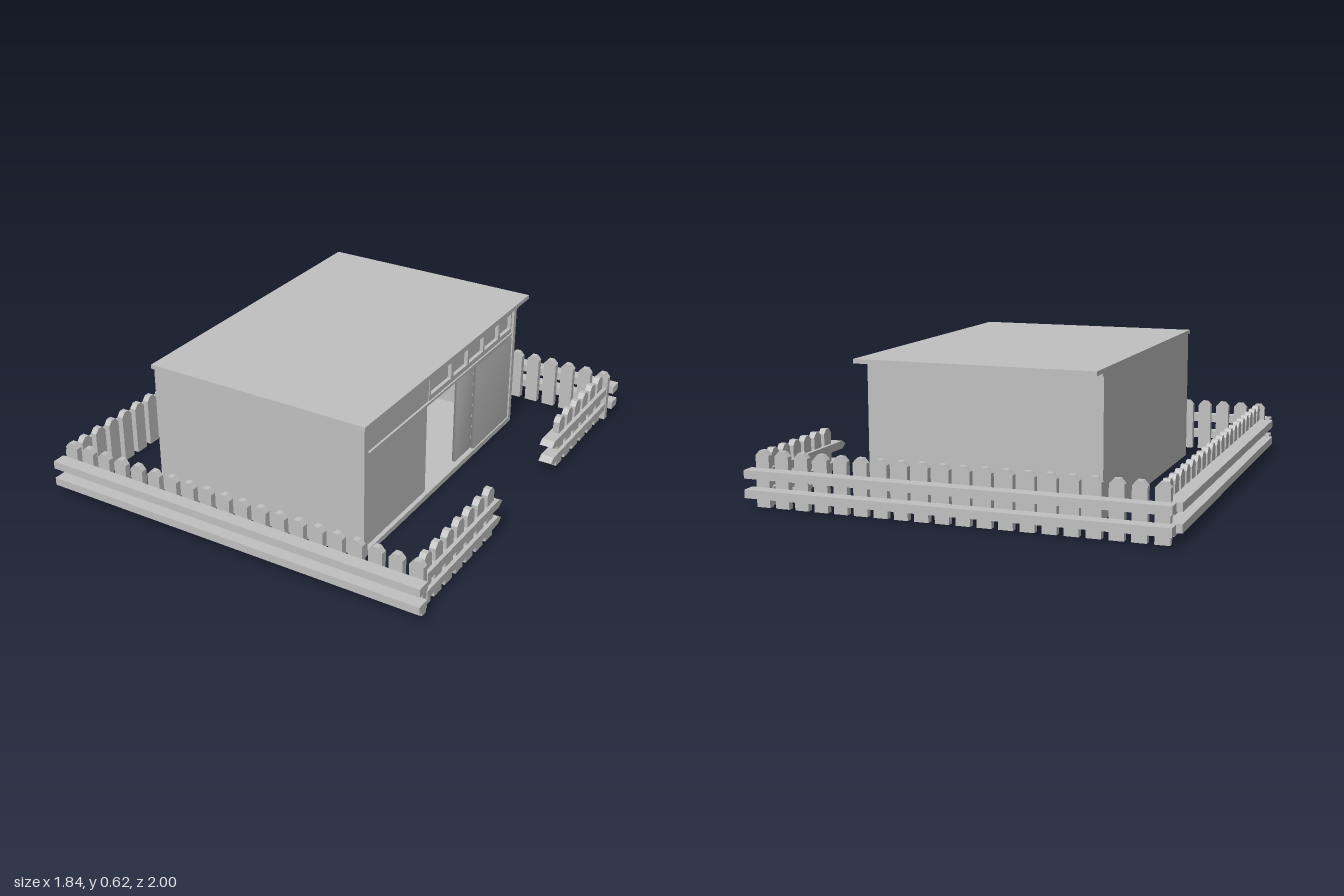
import * as THREE from 'three';
import { mergeVertices } from 'three/addons/utils/BufferGeometryUtils.js';

export function createModel() {
  const grey = new THREE.MeshStandardMaterial({ color: 0xc0c0c0 });
  grey.name = 'plain grey';
  const root = new THREE.Group();
  root.name = 'fencedHouse';

  const add = (parent, name, geo, x = 0, y = 0, z = 0) => {
    const m = new THREE.Mesh(geo, grey);
    m.name = name;
    m.position.set(x, y, z);
    parent.add(m);
    return m;
  };
  // box given by its limits on each axis
  const box = (parent, name, x0, x1, y0, y1, z0, z1) =>
    add(parent, name, new THREE.BoxGeometry(x1 - x0, y1 - y0, z1 - z0),
      (x0 + x1) / 2, (y0 + y1) / 2, (z0 + z1) / 2);
  // outline pushed along z from z0 to z1
  const extrude = (points, z0, z1) => {
    const shape = new THREE.Shape(points.map(p => new THREE.Vector2(...p)));
    return new THREE.ExtrudeGeometry(shape, { depth: z1 - z0, bevelEnabled: false }).translate(0, 0, z0);
  };

  // ---- House shell ----
  const house = new THREE.Group();
  house.name = 'house';
  root.add(house);
  box(house, 'floor', -0.53, 0.51, 0, 0.025, -0.665, 0.72);
  box(house, 'frontWall', -0.53, 0.51, 0, 0.605, 0.69, 0.72);
  box(house, 'backWall', -0.53, 0.51, 0, 0.605, -0.665, -0.64);
  box(house, 'farSideWall', -0.53, -0.5, 0, 0.605, -0.64, 0.69);
  box(house, 'roof', -0.535, 0.52, 0.603, 0.622, -0.773, 0.733);
  box(house, 'roofBatten', -0.53, 0.51, 0.588, 0.603, -0.68, -0.665);

  // ---- Open side with wall panel, lintel and window row ----
  box(house, 'sidePanel', 0.465, 0.49, 0.025, 0.465, 0.165, 0.69);
  box(house, 'lintel', 0.465, 0.505, 0.463, 0.475, -0.64, 0.69);
  box(house, 'upperPanel', 0.465, 0.495, 0.475, 0.587, 0.165, 0.69);
  box(house, 'topRail', 0.465, 0.505, 0.587, 0.603, -0.64, 0.69);

  // window frame with five openings; its outline runs along -z
  const frame = new THREE.Shape([[-0.165, 0.475], [0.64, 0.475], [0.64, 0.587], [-0.165, 0.587]]
    .map(p => new THREE.Vector2(...p)));
  for (const [a, b] of [[-0.15, 0.035], [0.055, 0.19], [0.205, 0.345], [0.36, 0.5], [0.52, 0.632]]) {
    frame.holes.push(new THREE.Path([[a, 0.498], [a, 0.572], [b, 0.572], [b, 0.498]]
      .map(p => new THREE.Vector2(...p))));
    box(house, 'windowPane', 0.475, 0.481, 0.498, 0.572, -b, -a);
  }
  const frameGeo = new THREE.ExtrudeGeometry(frame, { depth: 0.03, bevelEnabled: false });
  add(house, 'windowFrame', frameGeo.rotateY(Math.PI / 2), 0.468);

  // ---- Sliding doors, shaded smoothly across their edges ----
  const door = (name, x, z0, z1) => {
    const flat = new THREE.BoxGeometry(0.015, 0.43, z1 - z0);
    flat.deleteAttribute('normal');
    flat.deleteAttribute('uv');
    const soft = mergeVertices(flat);
    soft.computeVertexNormals();
    add(house, name, soft, x, 0.235, (z0 + z1) / 2);
  };
  door('narrowDoor', 0.478, -0.285, -0.13);
  door('wideDoor', 0.496, -0.64, -0.28);

  // ---- Furniture inside ----
  const inside = new THREE.Group();
  inside.name = 'furniture';
  house.add(inside);
  box(inside, 'chairBack', -0.3, -0.18, 0.025, 0.14, 0.145, 0.165);
  box(inside, 'stoolSeat', -0.3, -0.2, 0.075, 0.085, -0.045, 0.04);
  box(inside, 'stoolBase', -0.29, -0.21, 0.025, 0.075, -0.035, 0.03);
  box(inside, 'stoolCushion', -0.28, -0.22, 0.085, 0.115, -0.035, 0.025);
  box(inside, 'cabinet', -0.42, -0.25, 0.025, 0.12, -0.16, -0.075);
  box(inside, 'cabinetTop', -0.43, -0.24, 0.12, 0.15, -0.17, -0.06);
  add(inside, 'lampStem', new THREE.CylinderGeometry(0.005, 0.005, 0.06, 8), -0.33, 0.18, -0.11);
  add(inside, 'lampDish', new THREE.CylinderGeometry(0.035, 0.02, 0.012, 12), -0.33, 0.212, -0.1);
  add(inside, 'lampRing', new THREE.TorusGeometry(0.018, 0.004, 6, 14), -0.33, 0.237, -0.1)
    .rotation.y = Math.PI / 2;

  // ---- Fences: built along x facing +z, then turned into place ----
  const picketGeo = extrude([[-0.031, 0], [0.031, 0], [0.031, 0.222],
    [0.012, 0.243], [-0.012, 0.243], [-0.031, 0.222]], 0, 0.029);
  // tip: -1 or 1 sharpens that end of the rails, 0 leaves them square
  const fence = (name, turn, first, count, picketZ, start, end, railZ, tip = 0) => {
    const g = new THREE.Group();
    g.name = name;
    g.rotation.y = turn;
    root.add(g);
    for (let i = 0; i < count; i++) add(g, 'picket', picketGeo, first + i * 0.0903, 0, picketZ);
    for (const y of [0.05, 0.133]) {
      const h = 0.036, t = 0.03, pts = [];
      if (tip < 0) pts.push([start + t, y + h], [start, y + h / 2], [start + t, y]);
      else pts.push([start, y + h], [start, y]);
      if (tip > 0) pts.push([end - t, y], [end, y + h / 2], [end - t, y + h]);
      else pts.push([end, y], [end, y + h]);
      add(g, 'rail', extrude(pts, railZ, railZ + 0.062));
    }
  };
  const quarter = Math.PI / 2;
  fence('frontFence', 0, -0.847, 20, 0.907, -0.9, 0.92, 0.936);
  fence('backFence', Math.PI, -0.868, 20, 0.907, -0.92, 0.9, 0.936);
  fence('rightFence', -quarter, -0.865, 20, 0.832, -0.928, 0.895, 0.861);
  fence('leftFenceFront', quarter, -0.86, 7, 0.85, -0.89, -0.24, 0.834, 1);
  fence('leftFenceBack', quarter, 0.408, 6, 0.85, 0.27, 0.912, 0.834, -1);
  return root;
}
